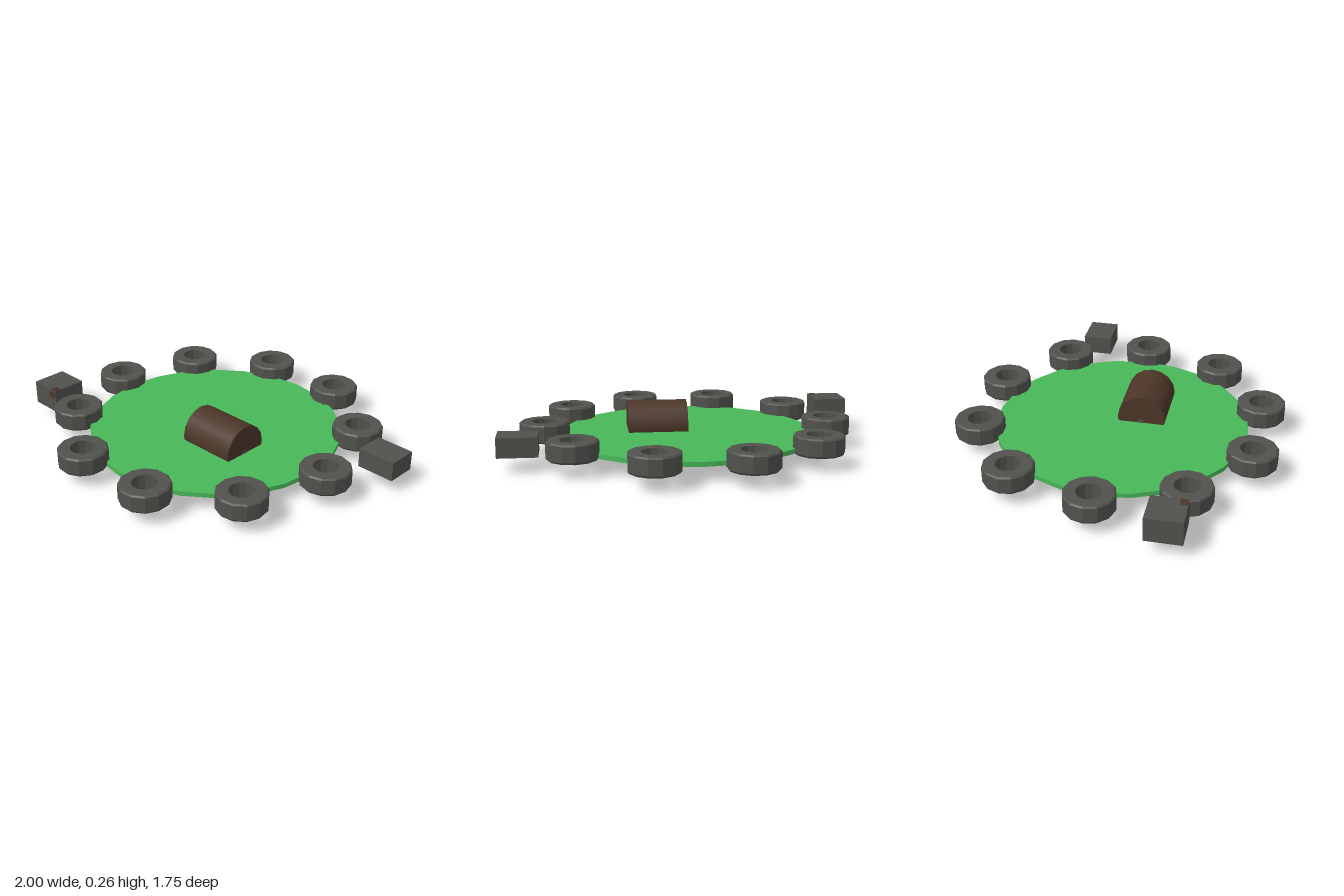
import * as THREE from 'three';

export function createModel() {
  const model = new THREE.Group();
  model.name = 'tyreRingPlayground';

  const grass = new THREE.MeshStandardMaterial({ color: 0x48b858 });
  grass.name = 'grassGreen';
  const rubber = new THREE.MeshStandardMaterial({ color: 0x51514d, flatShading: true });
  rubber.name = 'rubberGrey';
  const wood = new THREE.MeshStandardMaterial({ color: 0x4c3628 });
  wood.name = 'logBrown';

  const add = (name, geometry, material, x, y, z) => {
    const mesh = new THREE.Mesh(geometry, material);
    mesh.name = name;
    mesh.position.set(x, y, z);
    model.add(mesh);
    return mesh;
  };

  // Thin grass disc
  const cx = -0.02;
  add('grassDisc', new THREE.CylinderGeometry(0.695, 0.695, 0.025, 24), grass, cx, 0.094, 0);

  // Ring of ten low-poly tyres: closed cross-section turned around y
  const section = [[0.068, 0], [0.128, 0], [0.136, 0.01], [0.136, 0.092], [0.128, 0.1], [0.068, 0.1], [0.068, 0]];
  const tyre = new THREE.LatheGeometry(section.map(([r, y]) => new THREE.Vector2(r, y)), 12);
  for (let i = 0; i < 10; i++) {
    const a = (i / 10) * Math.PI * 2;
    const x = cx + 0.782 * Math.cos(a);
    // the tyres sit slightly higher towards +x
    const t = add(`tyre${i + 1}`, tyre, rubber, x, 0.077 + 0.004 * x, 0.778 * Math.sin(a));
    t.rotation.y = -a;
  }

  // Two loose blocks outside the ring
  add('leftBlock', new THREE.BoxGeometry(0.212, 0.105, 0.165), rubber, 0.891, 0.132, -0.33);
  add('rightBlock', new THREE.BoxGeometry(0.185, 0.132, 0.192), rubber, -0.907, 0.141, 0.398);

  // Log lying along x, half sunk through the disc
  const log = add('log', new THREE.CylinderGeometry(0.132, 0.132, 0.328, 16), wood, 0.14, 0.132, 0.106);
  log.rotation.z = Math.PI / 2;

  // Grey worn patch on the lower part of each log end
  for (const side of [-1, 1]) {
    const patch = add('logEndPatch', new THREE.CircleGeometry(0.128, 8, Math.PI * 1.18, Math.PI * 0.56),
      rubber, 0.14 + side * 0.1655, 0.132, 0.106);
    patch.rotation.y = side * Math.PI / 2;
  }

  // Brown stain on the corner of the right block
  add('blockStainTop', new THREE.BoxGeometry(0.045, 0.003, 0.04), wood, -0.838, 0.207, 0.472);
  add('blockStainFront', new THREE.BoxGeometry(0.045, 0.035, 0.003), wood, -0.845, 0.178, 0.494);

  return model;
}
